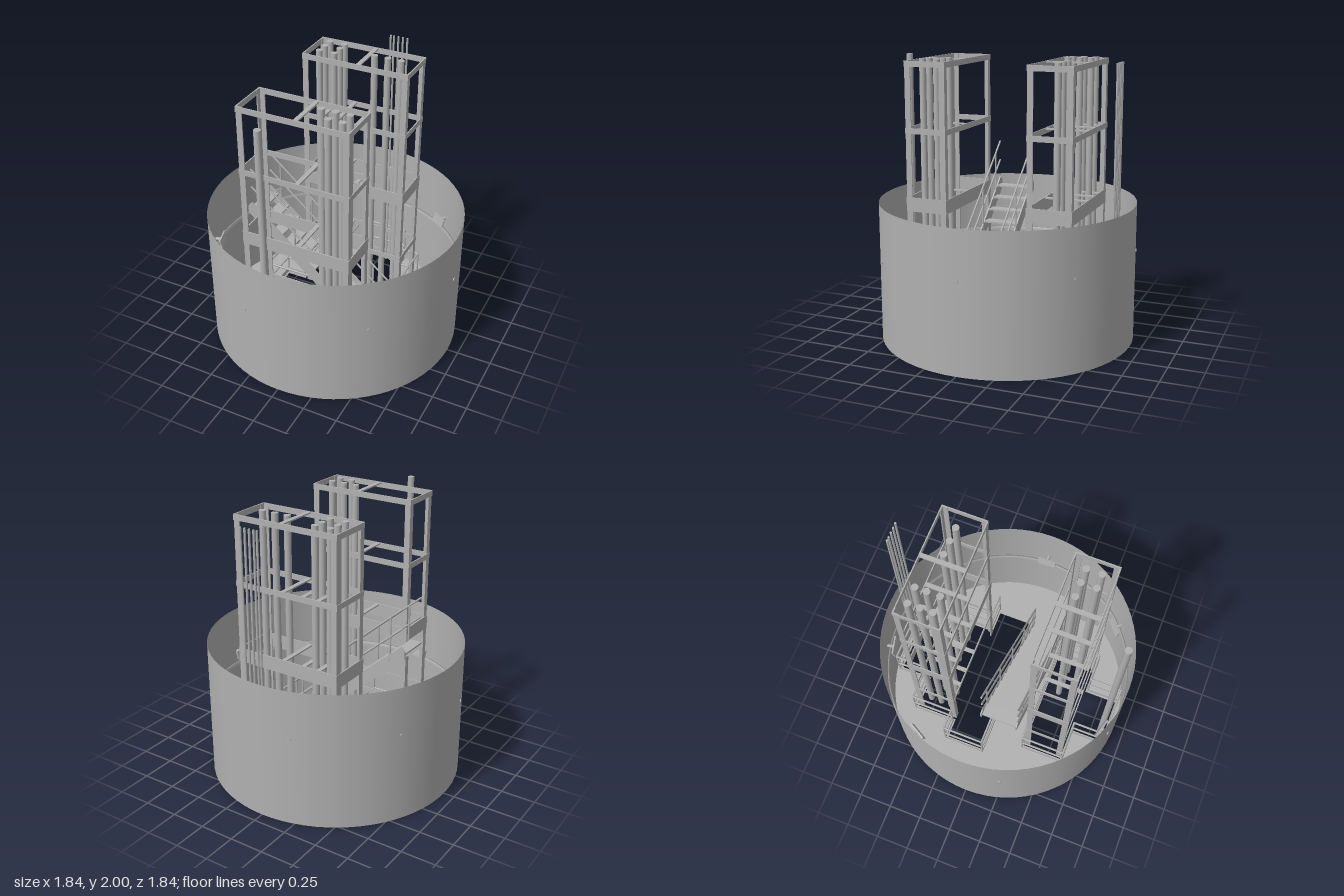
import * as THREE from 'three';

export function createModel() {
  const model = new THREE.Group();
  const grey = new THREE.MeshStandardMaterial({ color: 0xb0b0b0 });
  grey.name = 'grey steel';
  const greyOpen = new THREE.MeshStandardMaterial({ color: 0xb0b0b0, side: THREE.DoubleSide });
  greyOpen.name = 'grey steel sheet';

  const add = (name, geo, parent = model, mat = grey) => {
    const m = new THREE.Mesh(geo, mat);
    m.name = name;
    parent.add(m);
    return m;
  };
  const group = (name) => {
    const g = new THREE.Group();
    g.name = name;
    model.add(g);
    return g;
  };
  // box given by its limits
  const block = (name, parent, x0, x1, y0, y1, z0, z1) =>
    add(name, new THREE.BoxGeometry(x1 - x0, y1 - y0, z1 - z0)
      .translate((x0 + x1) / 2, (y0 + y1) / 2, (z0 + z1) / 2), parent);
  // round bar between two points
  const bar = (name, parent, a, b, r, sides = 8) => {
    const p = new THREE.Vector3(...a), q = new THREE.Vector3(...b);
    const m = add(name, new THREE.CylinderGeometry(r, r, p.distanceTo(q), sides), parent);
    m.position.copy(p).add(q).multiplyScalar(0.5);
    m.quaternion.setFromUnitVectors(new THREE.Vector3(0, 1, 0), q.sub(p).normalize());
    return m;
  };

  // round wall, open at the top
  const R = 0.918;
  add('wall', new THREE.CylinderGeometry(R, R, 1, 72, 1, true).translate(0, 0.5, 0), model, greyOpen);

  // floor with two stepped openings
  const backHole = [[0.57, 0], [0.57, -0.29], [0.395, -0.29], [0.395, -0.61], [0.18, -0.61], [0.18, -0.86],
    [-0.165, -0.86], [-0.165, -0.61], [-0.42, -0.61], [-0.42, -0.29], [-0.57, -0.29], [-0.57, 0]];
  const frontHole = [[0.395, 0.3], [0.395, 0.605], [0.18, 0.605], [0.18, 0.86],
    [-0.165, 0.86], [-0.165, 0.605], [-0.42, 0.605], [-0.42, 0.3]];
  const floor = new THREE.Shape().absarc(0, 0, R, 0, Math.PI * 2);
  for (const hole of [backHole, frontHole]) {
    floor.holes.push(new THREE.Path(hole.map(([x, z]) => new THREE.Vector2(x, z))));
  }
  add('floor', new THREE.ExtrudeGeometry(floor, { depth: 0.01, bevelEnabled: false, curveSegments: 36 })
    .rotateX(Math.PI / 2).translate(0, 0.01, 0));

  // guard rails round the openings
  const guard = (name, path) => {
    const g = group(name);
    path.forEach(([x, z], i) => {
      bar('guardPost', g, [x, 0, z], [x, 0.3, z], 0.007);
      if (i === path.length - 1) return;
      const [x2, z2] = path[i + 1];
      for (const y of [0.15, 0.3]) bar('guardRail', g, [x, y, z], [x2, y, z2], 0.008);
      block('toeBoard', g, Math.min(x, x2) - 0.004, Math.max(x, x2) + 0.004, 0.01, 0.05,
        Math.min(z, z2) - 0.004, Math.max(z, z2) + 0.004);
    });
  };
  guard('backGuard', [[0.6, -0.305], [0.412, -0.305], [0.412, -0.625], [0.197, -0.625], [0.197, -0.875],
    [-0.182, -0.875], [-0.182, -0.625], [-0.438, -0.625], [-0.438, -0.305], [-0.585, -0.305],
    [-0.585, 0.008], [0.57, 0.008]]);
  guard('frontGuard', [[0.412, 0.29], [0.412, 0.62], [0.197, 0.62], [0.197, 0.872], [-0.182, 0.872],
    [-0.182, 0.62], [-0.438, 0.62], [-0.438, 0.29], [0.412, 0.29]]);

  // tower frames of angle posts, flat bands and cross straps
  const T = 0.008;
  const tower = (name, z0, z1, straps) => {
    const g = group(name), x0 = -0.405, x1 = 0.392, W = 0.042;
    for (const right of [false, true]) for (const front of [false, true]) {
      const px = right ? x1 - W : x0, pz = front ? z1 - W : z0;
      const fx = right ? x1 - T : x0, fz = front ? z1 - T : z0;
      block('postFace', g, px, px + W, 0, 1.99, fz, fz + T);
      block('postSide', g, fx, fx + T, 0, 1.99, pz, pz + W);
    }
    for (const [y0, y1] of [[1.95, 1.99], [1.49, 1.53], [0.94, 1.04], [0.44, 0.48]]) {
      for (const z of [z0 - 0.003, z1 - T + 0.003]) block('band', g, x0 - 0.003, x1 + 0.003, y0, y1, z, z + T);
      for (const x of [x0 - 0.003, x1 - T + 0.003]) block('band', g, x, x + T, y0, y1, z0, z1);
      for (const x of straps) {
        if (y0 > 1.9 && x < 0) continue;
        block('strap', g, x - 0.016, x + 0.016, y1 - 0.012, y1 - 0.002, z0, z1);
      }
    }
  };
  tower('frontTower', 0.305, 0.605, [0.02]);
  tower('backTower', -0.605, -0.288, [-0.26, -0.14, 0.02]);

  // upright pipes
  const pipes = group('pipes');
  for (const [x, z] of [[0.1, 0.405], [0.2, 0.405], [0.3, 0.405], [0.2, 0.51], [0.3, 0.51], [-0.115, 0.825],
    [-0.315, -0.54], [-0.2, -0.54], [-0.315, -0.455], [-0.2, -0.46], [-0.315, -0.37], [-0.2, -0.37],
    [0.07, -0.46], [0.17, -0.46], [0.27, -0.46]]) {
    bar('pipe', pipes, [x, 0, z], [x, 2, z], 0.024, 20);
  }
  for (const x of [0.03, 0.055, 0.09, 0.125, 0.16]) bar('thinPipe', pipes, [x, 0, -0.828], [x, 2, -0.828], 0.008);

  // stairs rising towards -x
  const stairs = group('stairs');
  const steps = 13, xTop = -0.55, run = 1.12 / steps, rise = 0.075;
  for (let i = 0; i < steps; i++) {
    const x = xTop + i * run, y = 0.985 - i * rise;
    block('tread', stairs, x, x + run + 0.004, y - 0.012, y, 0.02, 0.27);
  }
  const slope = (x) => 1 - (x - xTop) * 0.87;
  const side = new THREE.Shape([[-0.56, 1.01], [-0.53, 1.04], [0.57, 0.083], [0.57, 0.005], [0.525, 0.005], [-0.56, 0.95]]
    .map(([x, y]) => new THREE.Vector2(x, y)));
  for (const z of [0.014, 0.276]) {
    add('stringer', new THREE.ExtrudeGeometry(side, { depth: 0.01, bevelEnabled: false }).translate(0, 0, z - 0.005), stairs);
    for (const h of [0.2, 0.345]) {
      bar('handrail', stairs, [-0.53, slope(-0.53) + h - 0.01, z], [0.57, slope(0.57) + h - 0.01, z], 0.007);
    }
    for (const x of [-0.44, -0.19, 0.06, 0.31, 0.56]) {
      bar('handrailPost', stairs, [x, slope(x), z], [x, slope(x) + 0.335, z], 0.007);
    }
  }

  // ring fixed along the inside of the wall
  const ring = [[0.902, 0.53], [0.914, 0.53], [0.914, 0.56], [0.902, 0.56], [0.902, 0.53]];
  add('wallRing', new THREE.LatheGeometry(ring.map(([r, y]) => new THREE.Vector2(r, y)), 72), model, greyOpen);

  // tilted lamps on stems through the wall
  const lamps = group('wallLamps');
  for (const [x, z] of [[-0.22, -0.88], [0.58, -0.69], [-0.8, -0.44], [0.91, -0.01],
    [-0.87, 0.27], [0.58, 0.69], [-0.25, 0.88]]) {
    const lamp = new THREE.Group();
    lamp.name = 'lamp';
    lamp.rotation.y = Math.atan2(x, z);
    const y = z > 0.1 ? 0.61 : 0.65;
    bar('stem', lamp, [0, y, 0.86], [0, y, 0.924], 0.013);
    const plate = add('lampPlate', new THREE.BoxGeometry(0.14, 0.06, 0.012), lamp);
    plate.position.set(0, y, 0.86);
    plate.rotation.x = 0.25;
    lamps.add(lamp);
  }
  return model;
}
